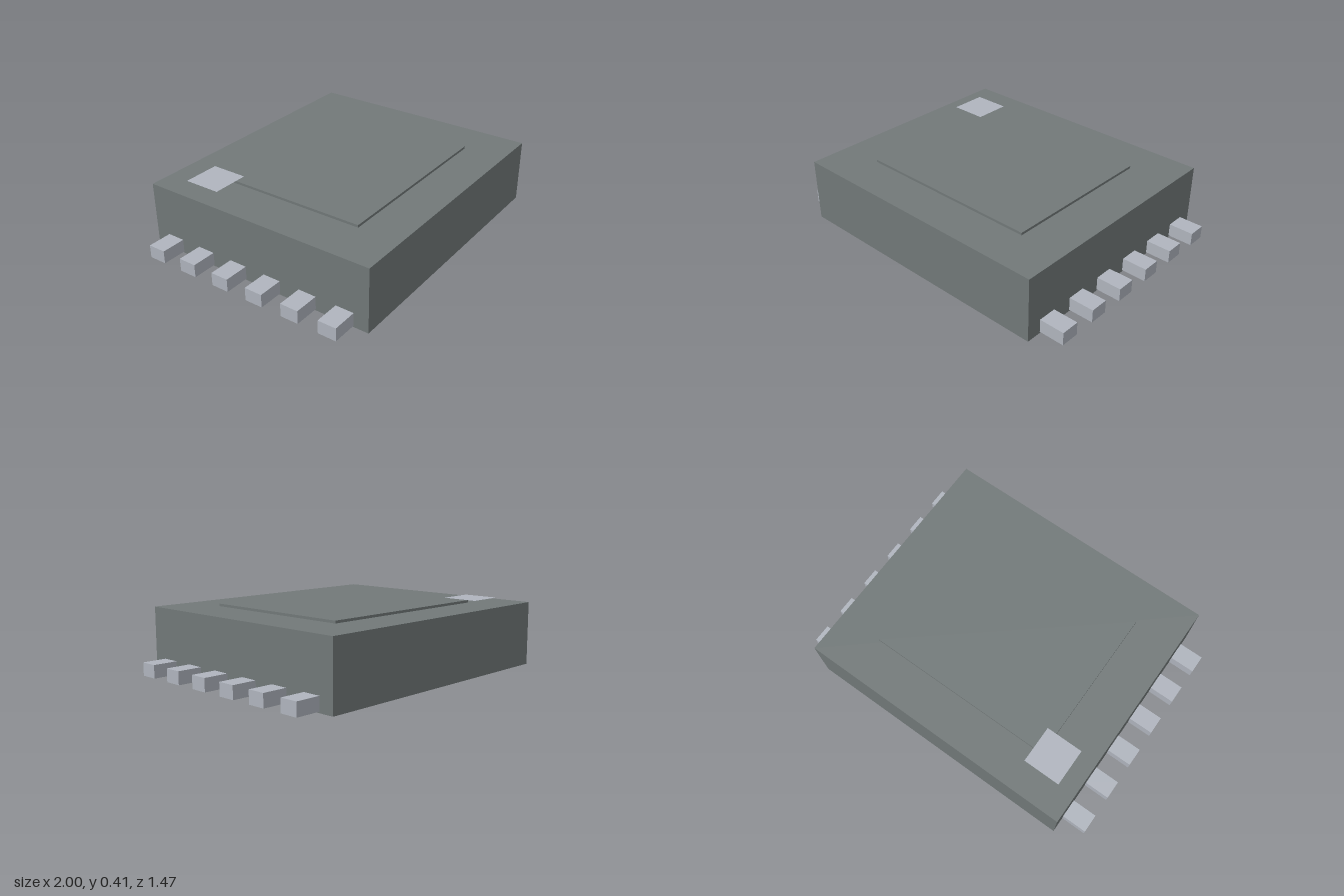
import * as THREE from 'three';

const bodyGrey = new THREE.MeshStandardMaterial({ color: 0x727979 });
bodyGrey.name = 'body grey';
const pinSilver = new THREE.MeshStandardMaterial({ color: 0xb0b5be, side: THREE.DoubleSide });
pinSilver.name = 'pin silver';

// Box given by its centre in x and z, its bottom and its top
function box(name, material, x, z, width, depth, bottom, top) {
  const mesh = new THREE.Mesh(new THREE.BoxGeometry(width, top - bottom, depth), material);
  mesh.name = name;
  mesh.position.set(x, (bottom + top) / 2, z);
  return mesh;
}

export function createModel() {
  const model = new THREE.Group();
  model.name = 'chipPackage';

  // Body with a slightly raised panel on top
  model.add(box('body', bodyGrey, 0, 0, 1.7, 1.47, 0, 0.385));
  model.add(box('topPanel', bodyGrey, 0, 0, 1.15, 0.96, 0.385, 0.4));

  // Square marker for the first pin, just above the panel corner
  const marker = new THREE.Mesh(new THREE.PlaneGeometry(0.225, 0.225), pinSilver);
  marker.name = 'pinOneMarker';
  marker.rotation.x = -Math.PI / 2;
  marker.position.set(-0.63, 0.408, -0.457);
  model.add(marker);

  // Six pins along each side
  for (const side of [-1, 1]) {
    const row = new THREE.Group();
    row.name = side > 0 ? 'leftPins' : 'rightPins';
    for (let i = 0; i < 6; i++) {
      row.add(box('pin', pinSilver, side * 0.92, (i - 2.5) * 0.236, 0.16, 0.11, 0.008, 0.086));
    }
    model.add(row);
  }
  return model;
}
